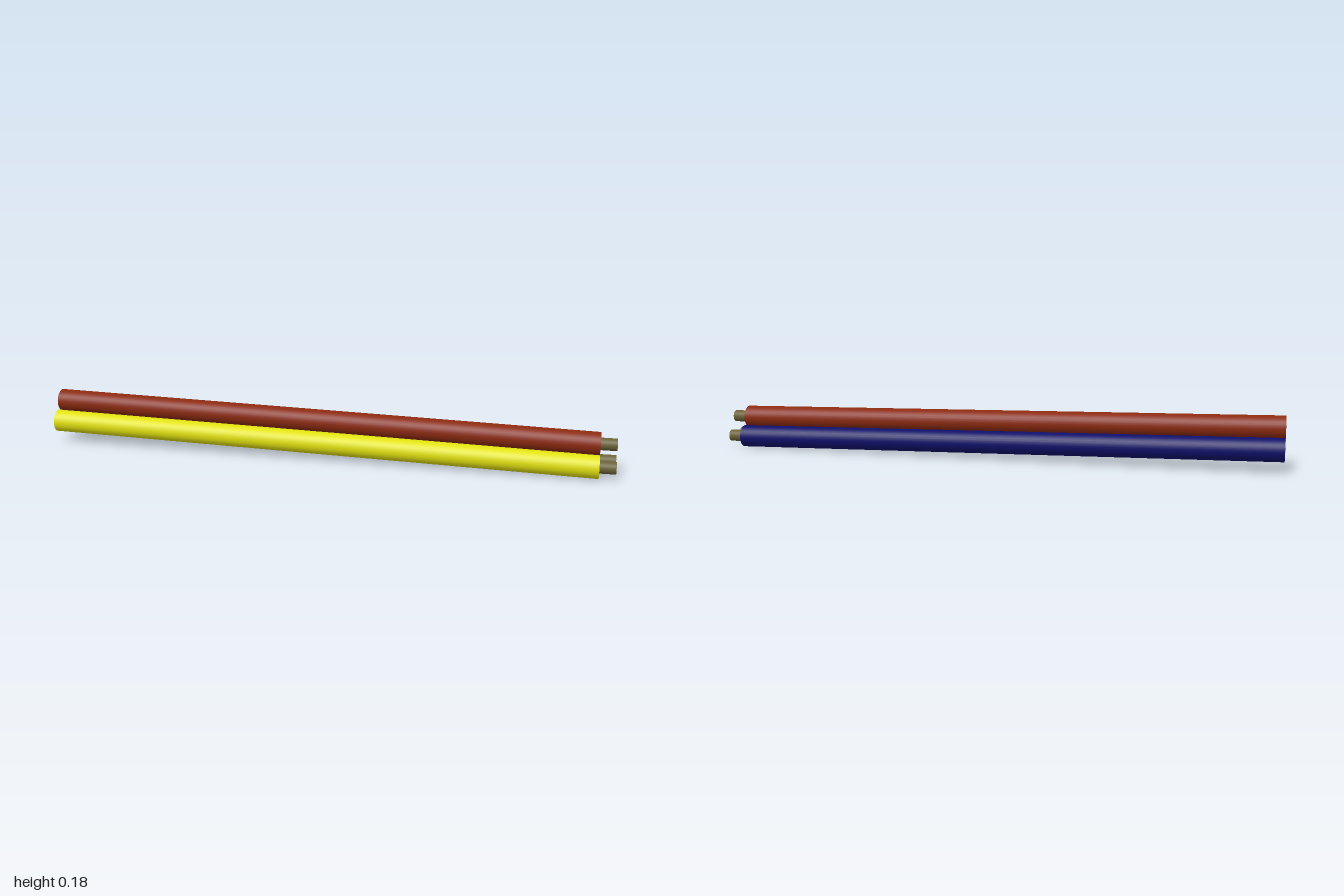
import * as THREE from 'three';

const SIDES = 32;
const X_BACK = -1, X_FRONT = 0.945, X_TIP = 1;
const RISE = 0.0365; // how much higher the far end lies
const SHEATH_R = 0.0395, CORE_R = 0.021;

// A cylinder along x whose start is lifted, keeping both ends upright
function rod(name, radius, x0, x1, lift, color) {
  const length = x1 - x0;
  const geometry = new THREE.CylinderGeometry(radius, radius, length, SIDES);
  geometry.rotateZ(-Math.PI / 2);
  geometry.translate((x0 + x1) / 2, 0, 0);
  const p = geometry.attributes.position;
  for (let i = 0; i < p.count; i++) {
    p.setY(i, p.getY(i) + lift * (x1 - p.getX(i)) / length);
  }
  const mesh = new THREE.Mesh(geometry, new THREE.MeshStandardMaterial({ color }));
  mesh.name = name;
  return mesh;
}

// One insulated wire: coloured sheath with a bare core sticking out at +x
function wire(name, color, y, z) {
  const group = new THREE.Group();
  group.name = name;
  group.add(
    rod('sheath', SHEATH_R, X_BACK, X_FRONT, RISE, color),
    rod('core', CORE_R, X_FRONT - 0.06, X_TIP, 0, 0x6b6238),
  );
  group.position.set(0, y, z);
  return group;
}

export function createModel() {
  const model = new THREE.Group();
  model.name = 'wireBundle';
  model.add(
    wire('redWire', 0x8b2a10, 0.108, -0.001),
    wire('yellowWire', 0xe0e010, SHEATH_R, 0.0405),
    wire('blueWire', 0x0f0f6a, SHEATH_R, -0.039),
  );
  return model;
}
